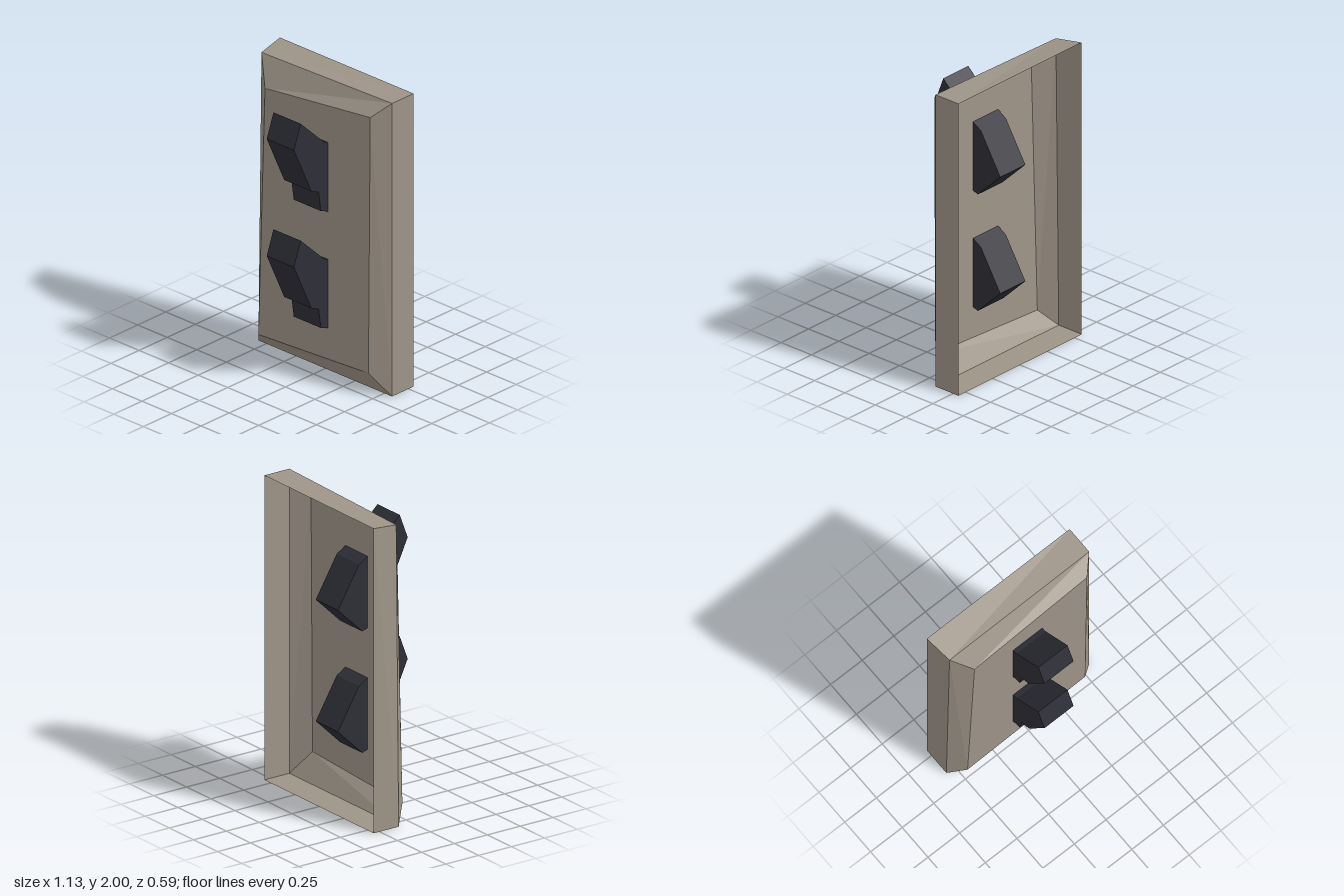
import * as THREE from 'three';

const plateMaterial = new THREE.MeshStandardMaterial({ color: 0x9e9488, side: THREE.DoubleSide, flatShading: true });
plateMaterial.name = 'warm grey plate';
const toggleMaterial = new THREE.MeshStandardMaterial({ color: 0x2e2e37, flatShading: true });
toggleMaterial.name = 'dark slate toggle';

// Crooked bevelled wall plate: a thin shell, open at the back
function createPlate() {
  // Each ring runs counter-clockwise seen from the front, from the bottom -x corner
  const rings = [
    { z: -0.295, points: [[-0.565, 0], [0.565, 0], [0.565, 2], [-0.565, 2]] },
    { z: -0.105, points: [[-0.565, 0], [0.565, 0], [0.565, 2], [-0.54, 1.975]] },
    { z: -0.01, points: [[-0.475, 0.105], [0.455, 0.155], [0.47, 1.905], [-0.42, 1.805]] },
  ];
  const positions = rings.flatMap(({ z, points }) => points.flatMap(([x, y]) => [x, y, z]));
  const index = [];
  for (let r = 0; r < 2; r++) {
    for (let i = 0; i < 4; i++) {
      const a = r * 4 + i;
      const b = r * 4 + ((i + 1) % 4);
      index.push(a, b, b + 4, a, b + 4, a + 4);
    }
  }
  index.push(8, 9, 10, 8, 10, 11); // front face

  const indexed = new THREE.BufferGeometry();
  indexed.setAttribute('position', new THREE.Float32BufferAttribute(positions, 3));
  indexed.setIndex(index);
  const geometry = indexed.toNonIndexed();
  geometry.computeVertexNormals();
  const plate = new THREE.Mesh(geometry, plateMaterial);
  plate.name = 'wallPlate';
  return plate;
}

// Toggle side profile as (z, y), passing through the plate
function createToggleGeometry() {
  const width = 0.23;
  const profile = [
    [-0.01, 1.145], [0.055, 1.17], [0.075, 1.305], [0.14, 1.335],
    [0.295, 1.67], [0.235, 1.83], [0.025, 1.63], [-0.01, 1.615],
    [-0.075, 1.575], [-0.235, 1.31], [-0.05, 1.13],
  ];
  const shape = new THREE.Shape(profile.map(([z, y]) => new THREE.Vector2(z, y)));
  const geometry = new THREE.ExtrudeGeometry(shape, { depth: width, bevelEnabled: false });
  geometry.translate(0, 0, -width / 2);
  geometry.rotateY(-Math.PI / 2);
  return geometry;
}

export function createModel() {
  const model = new THREE.Group();
  model.name = 'doubleLightSwitch';
  model.add(createPlate());

  const toggleGeometry = createToggleGeometry();
  [['upperToggle', 0], ['lowerToggle', -0.798]].forEach(([name, y]) => {
    const toggle = new THREE.Mesh(toggleGeometry, toggleMaterial);
    toggle.name = name;
    toggle.position.y = y;
    model.add(toggle);
  });
  return model;
}
